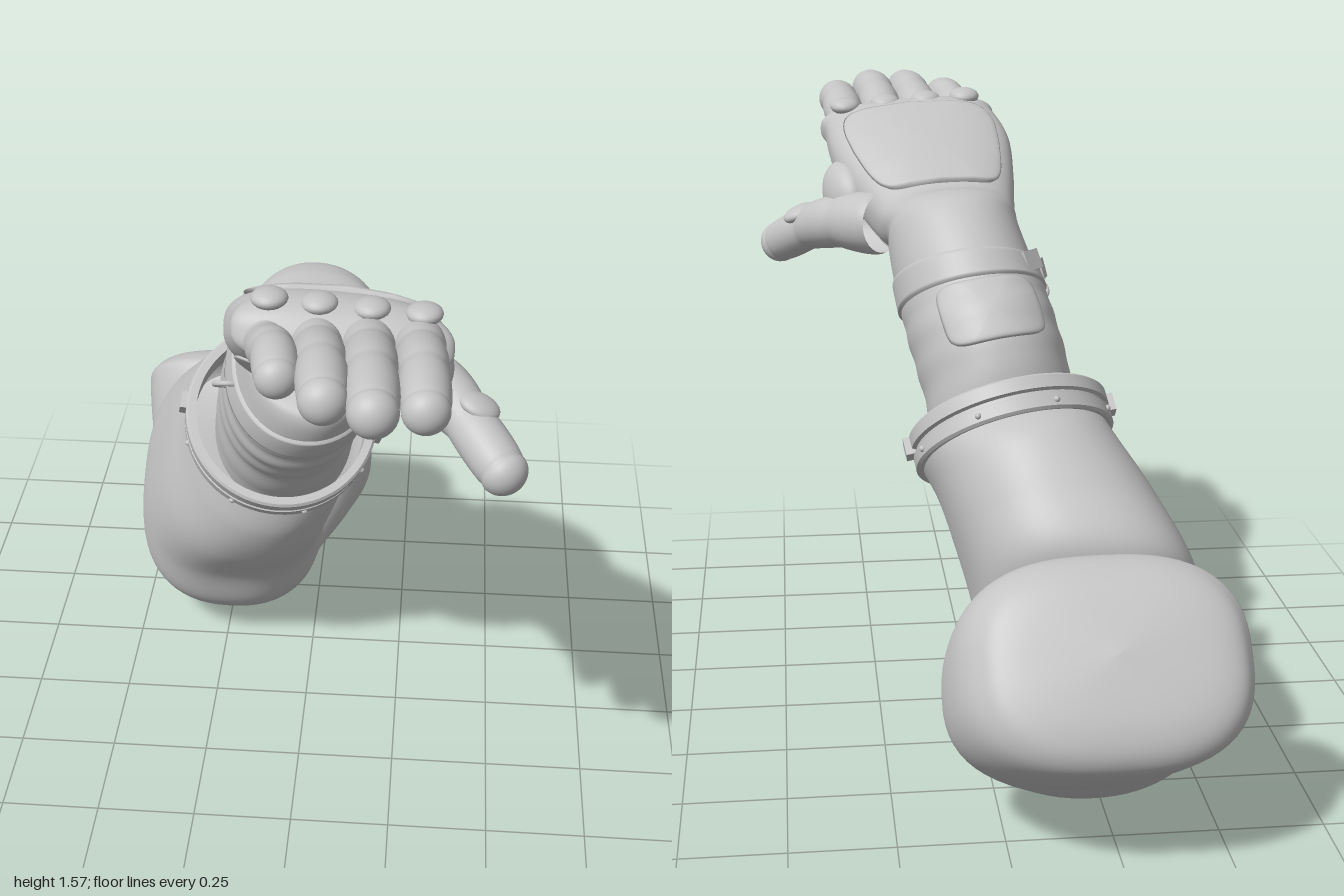
import * as THREE from 'three';
import { toCreasedNormals } from 'three/addons/utils/BufferGeometryUtils.js';

const V = (x, y, z) => new THREE.Vector3(x, y, z);
const { lerp } = THREE.MathUtils;

// Smooth surface, closed around u and open along v; fn(u, v) gives a point
function surface(fn, nu, nv) {
  const pos = [], idx = [];
  for (let j = 0; j <= nv; j++)
    for (let i = 0; i < nu; i++) pos.push(...fn(i / nu, j / nv).toArray());
  for (let j = 0; j < nv; j++)
    for (let i = 0; i < nu; i++) {
      const a = j * nu + i, b = j * nu + (i + 1) % nu;
      idx.push(a, b, b + nu, a, b + nu, a + nu);
    }
  const g = new THREE.BufferGeometry();
  g.setAttribute('position', new THREE.Float32BufferAttribute(pos, 3));
  g.setIndex(idx);
  g.computeVertexNormals();
  return g;
}

// Spline through sections [xRight, xLeft, zLow, yLow, zTop, yTop, squareness, slopeY, slopeZ];
// returns a function of (section number, angle, lift above the surface)
function body(rows, ripple = () => 1) {
  const n = rows.length - 1;
  const row = k => rows[Math.min(n, Math.max(0, k))];
  const sample = t => {
    const k = Math.min(n - 1, Math.max(0, Math.floor(t))), f = t - k;
    return rows[0].map((_, c) => {
      const p0 = row(k - 1)[c], p1 = row(k)[c], p2 = row(k + 1)[c], p3 = row(k + 2)[c];
      return p1 + 0.5 * f * (p2 - p0 + f * (2 * p0 - 5 * p1 + 4 * p2 - p3 + f * (3 * (p1 - p2) + p3 - p0)));
    });
  };
  const point = (t, a, lift = 0) => {
    const [x0, x1, zb, yb, zt, yt, e, sy, sz] = sample(t);
    const w = (x1 - x0) / 2;
    const pw = q => Math.sign(q) * Math.abs(q) ** (2 / e);
    const c = pw(Math.cos(a)), s = pw(Math.sin(a));
    const d = V(w * c, w * sy * c + (yt - yb) / 2 * s, w * sz * c + (zt - zb) / 2 * s);
    d.multiplyScalar(ripple(t, a));
    if (lift) d.setLength(d.length() + lift);
    return d.add(V((x0 + x1) / 2, (yb + yt) / 2, (zb + zt) / 2));
  };
  point.last = n;
  return point;
}

const loft = (S, nu = 64, step = 12) =>
  surface((u, v) => S(v * S.last, u * Math.PI * 2), nu, S.last * step);

// Raised panel with rounded corners lying on a body
function panel(S, t0, t1, a0, a1, lift) {
  const pw = q => Math.sign(q) * Math.abs(q) ** 0.4;
  return surface((u, v) => {
    const f = u * Math.PI * 2, r = v < 0.09 ? 1 : 1 - (v - 0.09) / 0.91;
    const a = lerp(a0, a1, 0.5 + 0.5 * r * pw(Math.cos(f)));
    const t = lerp(t0, t1, 0.5 + 0.5 * r * pw(Math.sin(f)));
    return S(t, a, v === 0 ? -0.008 : r > 0.95 ? lift * 0.75 : lift);
  }, 64, 14);
}

// Raised band running around a body
const band = (S, t0, t1, lift) => surface((u, v) =>
  S(lerp(t0, t1, v), u * Math.PI * 2, v === 0 || v === 1 ? -0.006 : lift), 64, 12);

// Jointed finger with a round tip along a path
function digit(points, r0, r1) {
  const path = new THREE.CatmullRomCurve3(points.map(p => V(...p)));
  const tip = 1 - r1 / path.getLength();
  return surface((u, v) => {
    const s = Math.sin(v * Math.PI / 2), a = u * Math.PI * 2;
    const d = path.getTangentAt(s);
    const side = V(0, 1, 0).cross(d).normalize(), up = d.clone().cross(side);
    let r = lerp(r0, r1, Math.min(1, s * 1.6));
    r *= 0.9 + 0.12 * Math.abs(Math.sin(s * Math.PI * 3.4)) ** 0.4;
    if (s > tip) r *= Math.sqrt(Math.max(0, 1 - ((s - tip) / (1 - tip)) ** 2));
    return path.getPointAt(s).addScaledVector(side, r * Math.cos(a)).addScaledVector(up, r * Math.sin(a));
  }, 28, 64);
}

export function createModel() {
  const model = new THREE.Group();
  const fabric = new THREE.MeshStandardMaterial({ color: 0xc4c4c4, side: THREE.DoubleSide });
  fabric.name = 'grey fabric';
  const add = (name, geometry, parent = model) => {
    const m = new THREE.Mesh(geometry, fabric);
    m.name = name;
    parent.add(m);
    return m;
  };

  // Sleeve: domed upper arm end, bent elbow with an inner crease, forearm open at the ring
  add('sleeve', loft(body([
    [-0.23, -0.23, -0.9, 0.54, -0.9, 0.54, 2.6, 0, 0],
    [-0.46, 0.0, -0.985, 0.4, -0.79, 0.648, 2.7, 0, 0],
    [-0.53, 0.08, -0.995, 0.312, -0.705, 0.68, 2.7, 0, 0],
    [-0.535, 0.128, -0.93, 0.245, -0.645, 0.655, 2.6, -0.05, 0.05],
    [-0.52, 0.138, -0.81, 0.165, -0.575, 0.54, 2.4, -0.08, 0.08],
    [-0.495, 0.075, -0.69, 0.08, -0.525, 0.39, 2.2, -0.04, 0.04],
    [-0.475, 0.01, -0.58, 0.015, -0.50, 0.3, 2.1, 0, 0],
    [-0.47, -0.005, -0.46, 0.012, -0.52, 0.3, 2.1, 0, 0],
    [-0.485, 0.0, -0.33, 0.055, -0.56, 0.38, 2.2, 0, 0],
    [-0.505, 0.02, -0.22, 0.14, -0.62, 0.53, 2.4, 0, 0.03],
    [-0.49, 0.04, -0.155, 0.28, -0.64, 0.68, 2.6, 0, 0.03],
    [-0.42, 0.075, -0.05, 0.42, -0.55, 0.8, 2.4, -0.06, -0.04],
    [-0.345, 0.11, 0.005, 0.54, -0.45, 0.895, 2.1, -0.14, -0.12],
    [-0.31, 0.15, 0.01, 0.64, -0.36, 0.925, 2, -0.15, -0.13],
  ])));

  // Glove: gauntlet, wrist and hand in one skin with soft folds on the gauntlet
  const folds = (t, a) => t > 0.4 && t < 2.9
    ? 1 + 0.014 * Math.sin((t - 0.4) / 2.5 * Math.PI * 6) * (0.6 - 0.4 * Math.sin(a)) : 1;
  const glove = body([
    [-0.25, 0.11, 0.01, 0.65, -0.33, 0.92, 2.1, -0.15, -0.13],
    [-0.23, 0.13, 0.11, 0.79, -0.3, 1.04, 2.1, -0.14, -0.1],
    [-0.21, 0.155, 0.2, 0.88, -0.245, 1.13, 2.1, -0.12, -0.08],
    [-0.19, 0.175, 0.26, 0.96, -0.165, 1.2, 2.1, -0.1, -0.05],
    [-0.16, 0.19, 0.305, 1.04, -0.1, 1.27, 2.1, -0.08, 0],
    [-0.135, 0.2, 0.315, 1.105, 0, 1.35, 2.1, -0.06, 0],
    [-0.13, 0.2, 0.27, 1.15, 0.075, 1.37, 2.2, -0.05, 0],
    [-0.135, 0.23, 0.295, 1.17, 0.19, 1.365, 2.4, -0.05, 0],
    [-0.145, 0.29, 0.4, 1.245, 0.3, 1.425, 2.6, -0.06, 0],
    [-0.145, 0.33, 0.5, 1.32, 0.4, 1.485, 2.7, -0.07, 0],
    [-0.115, 0.345, 0.58, 1.38, 0.5, 1.535, 2.7, -0.07, 0],
    [-0.09, 0.34, 0.63, 1.42, 0.58, 1.53, 2.7, -0.07, 0],
    [0.12, 0.12, 0.64, 1.475, 0.64, 1.475, 2.6, -0.07, 0],
  ], folds);
  add('glove', loft(glove));
  add('handBackPad', panel(glove, 7.1, 9.85, 0.72, Math.PI - 0.76, 0.014));
  add('palmPad', panel(glove, 6.75, 9.5, Math.PI + 0.58, Math.PI * 2 - 0.58, 0.008));
  add('gauntletPocket', panel(glove, 1.4, 3, 0.9, 2.25, 0.012));
  add('wristStrap', band(glove, 3.05, 3.95, 0.007));

  // Buckle and loop on the strap
  [[2.45, 0.055], [2.85, 0.035]].forEach(([a, w]) => {
    const b = add('strapBuckle', new THREE.BoxGeometry(w, 0.05, 0.016));
    b.position.copy(glove(3.6, a, 0.01));
    b.lookAt(glove(3.6, a, 1));
  });
  const loop = add('strapLoop', new THREE.TorusGeometry(0.035, 0.007, 10, 28));
  loop.position.set(-0.175, 1.09, 0.15);
  loop.rotation.x = Math.PI / 2 - 0.6;

  // Fingers and their knuckle guards
  [
    [-0.045, 0.012, 0.865, 1.512, 0.048],
    [0.06, 0.11, 0.965, 1.522, 0.053],
    [0.17, 0.207, 1.0, 1.518, 0.054],
    [0.28, 0.307, 0.945, 1.492, 0.052],
  ].forEach(([x0, x1, z, y, r]) => {
    const mid = lerp(0.52, z, 0.6);
    add('finger', digit([[x0, 1.45, 0.52], [lerp(x0, x1, 0.3), 1.478, 0.64],
      [lerp(x0, x1, 0.65), lerp(1.515, y, 0.5), mid], [x1, y, z]], r * 1.07, r));
    const k = add('knuckleGuard', new THREE.SphereGeometry(1, 24, 14));
    k.scale.set(0.04, 0.022, 0.045);
    k.position.set(x0 + 0.012, 1.532 - 0.07 * (x0 - 0.12), 0.55);
    k.rotation.x = -0.1;
  });

  // Thumb with its web and guard
  add('thumb', digit([[0.21, 1.255, 0.25], [0.325, 1.24, 0.365], [0.405, 1.2, 0.47], [0.505, 1.125, 0.605]], 0.085, 0.058));
  const web = add('thumbWeb', new THREE.SphereGeometry(1, 32, 20));
  web.scale.set(0.055, 0.08, 0.1);
  web.position.set(0.3, 1.31, 0.39);
  web.rotation.set(-0.5, 0.3, 0.2);
  const guard = add('thumbGuard', new THREE.SphereGeometry(1, 24, 14));
  guard.scale.set(0.05, 0.022, 0.045);
  guard.position.set(0.42, 1.247, 0.46);
  guard.rotation.z = -0.4;

  // Wrist ring: two grooved bands with latches and rivets
  const ring = new THREE.Group();
  ring.name = 'wristRing';
  ring.position.set(-0.08, 0.805, -0.16);
  ring.quaternion.setFromUnitVectors(V(0, 1, 0), V(0.17, 0.75, 0.62).normalize());
  model.add(ring);
  const profile = [[0.226, -0.048], [0.244, -0.048], [0.251, -0.042], [0.251, -0.012], [0.242, -0.008],
    [0.242, 0.002], [0.252, 0.006], [0.252, 0.038], [0.246, 0.044], [0.226, 0.044], [0.226, -0.048]]
    .map(p => new THREE.Vector2(...p));
  add('ringBands', toCreasedNormals(new THREE.LatheGeometry(profile, 96), 0.5), ring);
  [0, Math.PI].forEach(a => {
    const latch = add('ringLatch', new THREE.BoxGeometry(0.025, 0.045, 0.045), ring);
    latch.position.set(Math.cos(a) * 0.255, 0.015, Math.sin(a) * 0.255);
  });
  for (let i = 0; i < 8; i++) {
    const a = (i + 0.5) * Math.PI / 4;
    const rivet = add('ringRivet', new THREE.SphereGeometry(0.008, 10, 8), ring);
    rivet.position.set(Math.cos(a) * 0.251, -0.027, Math.sin(a) * 0.251);
  }
  return model;
}
